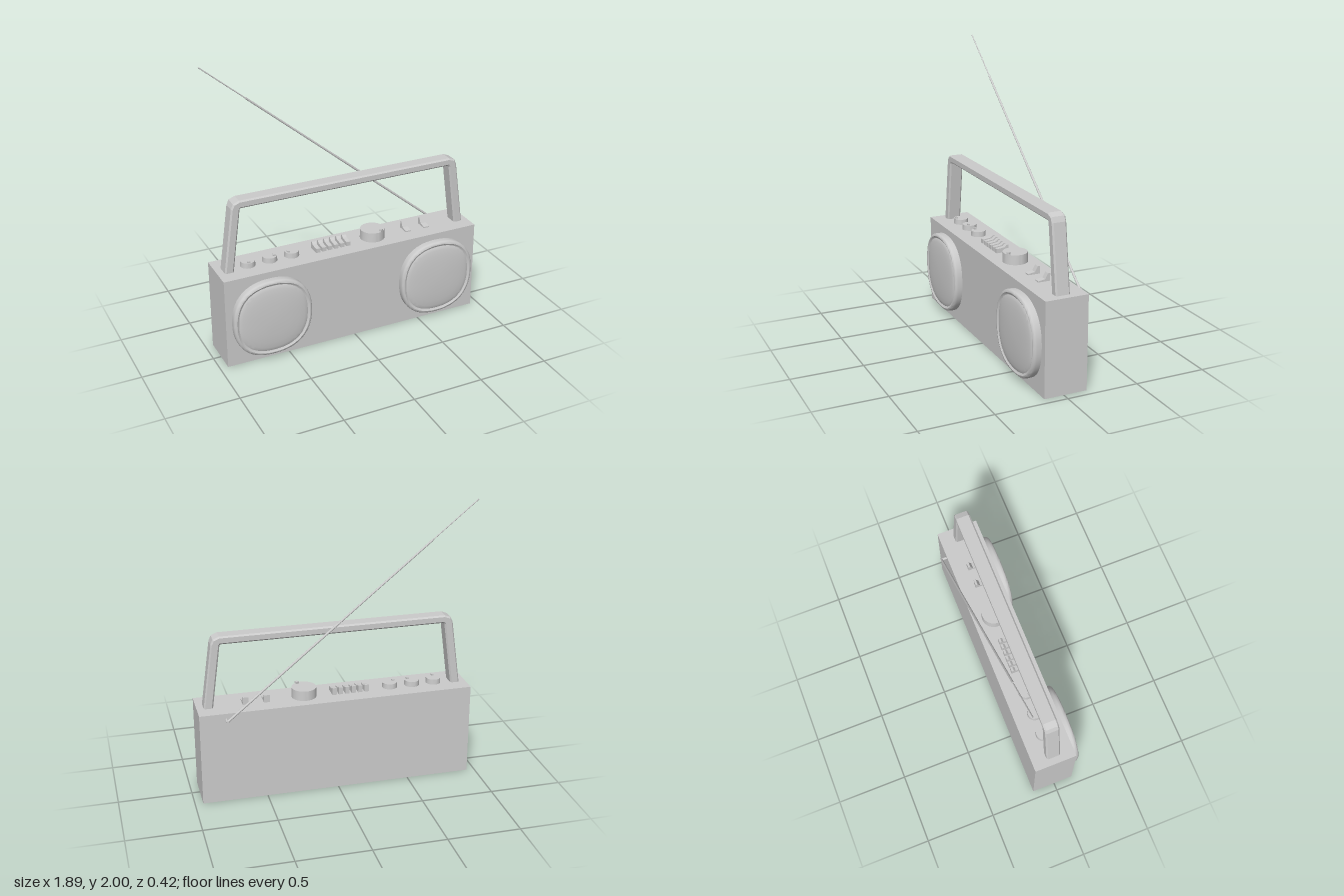
import * as THREE from 'three';
import { toCreasedNormals } from 'three/addons/utils/BufferGeometryUtils.js';

const TOP = 0.65; // height of the case
const MID_Z = -0.01; // centre line of the controls

export function createModel() {
  const model = new THREE.Group();
  const material = new THREE.MeshStandardMaterial({ color: 0xcccccc });

  function add(name, geometry, x = 0, y = 0, z = 0, parent = model) {
    const mesh = new THREE.Mesh(geometry, material);
    mesh.name = name;
    mesh.position.set(x, y, z);
    parent.add(mesh);
    return mesh;
  }
  const box = (w, h, d) => new THREE.BoxGeometry(w, h, d);
  const cylinder = (top, bottom, h, sides = 48) =>
    toCreasedNormals(new THREE.CylinderGeometry(top, bottom, h, sides), 0.6);
  const vectors = (points) => points.map(([x, y]) => new THREE.Vector2(x, y));

  // Side profile (z, y) extruded across x
  function sideProfile(points, width) {
    const shape = new THREE.Shape(vectors(points.map(([z, y]) => [-z, y])));
    const geometry = new THREE.ExtrudeGeometry(shape, { depth: width, bevelEnabled: false });
    return geometry.translate(0, 0, -width / 2).rotateY(Math.PI / 2);
  }

  // Case
  add('case', box(1.89, TOP, 0.3), 0, TOP / 2, -0.013);

  // Speakers: rounded rim, shallow groove and a domed cover, slightly squared
  const speakerProfile = vectors([
    [0.278, 0], [0.28, 0.035], [0.278, 0.05], [0.27, 0.058], [0.26, 0.06],
    [0.252, 0.054], [0.246, 0.052], [0.238, 0.056], [0.22, 0.06],
    [0.18, 0.065], [0.12, 0.069], [0.06, 0.071], [0, 0.072],
  ]);
  const speaker = new THREE.LatheGeometry(speakerProfile, 72).rotateX(Math.PI / 2);
  const p = speaker.attributes.position;
  for (let i = 0; i < p.count; i++) {
    const x = p.getX(i), y = p.getY(i), r = Math.hypot(x, y);
    if (r < 1e-6) continue;
    const n = 2.35;
    const k = 1 / Math.pow(Math.pow(Math.abs(x / r), n) + Math.pow(Math.abs(y / r), n), 1 / n);
    p.setXY(i, x * k, y * k);
  }
  const speakerGeometry = toCreasedNormals(speaker, 0.7);
  for (const side of [-1, 1]) {
    add(side < 0 ? 'rightSpeaker' : 'leftSpeaker', speakerGeometry, side * 0.624, 0.325, 0.134);
  }

  // Carrying handle: leaning legs, cut corners, chamfered edges
  const half = [[0.89, TOP - 0.01], [0.825, 1.1], [0.812, 1.13], [0.775, 1.145]];
  const inner = [[0.775, 1.11], [0.785, 1.095], [0.846, TOP - 0.01]];
  const mirror = (points) => points.map(([x, y]) => [-x, y]).reverse();
  const handleShape = new THREE.Shape(
    vectors([...half, ...mirror(half), ...mirror(inner), ...inner]));
  const handle = new THREE.ExtrudeGeometry(handleShape, {
    depth: 0.08, bevelEnabled: true, bevelSegments: 1, bevelSize: 0.01, bevelThickness: 0.01,
  });
  add('handle', handle, 0, 0, -0.05);

  // Small knobs, each with a raised pointer
  const pointers = [[-0.005, 0.034], [0.026, 0.018], [-0.028, 0.014]];
  [-0.72, -0.563, -0.403].forEach((x, i) => {
    const knob = new THREE.Group();
    knob.name = 'knob' + (i + 1);
    knob.position.set(x, TOP, MID_Z - 0.005);
    model.add(knob);
    add('knobBody', cylinder(0.05, 0.052, 0.037, 32), 0, 0.0185, 0, knob);
    add('knobPointer', box(0.018, 0.012, 0.018), pointers[i][0], 0.042, pointers[i][1], knob);
  });

  // Tuning dial
  const dial = new THREE.Group();
  dial.name = 'tuningDial';
  dial.position.set(0.206, TOP, MID_Z - 0.004);
  model.add(dial);
  add('dialBody', cylinder(0.084, 0.086, 0.068, 64), 0, 0.034, 0, dial);
  const marker = add('dialMarker', box(0.02, 0.016, 0.02), 0.034, 0.075, 0.065, dial);
  marker.rotation.y = 0.5;

  // Row of piano keys, scooped towards the front
  const key = sideProfile([
    [0.035, 0], [0.035, 0.03], [0.02, 0.03], [-0.025, 0.036],
    [-0.04, 0.05], [-0.055, 0.05], [-0.055, 0],
  ], 0.03);
  for (let i = 0; i < 6; i++) add('key' + (i + 1), key, -0.227 + i * 0.0455, TOP, 0);

  // Two lever switches
  const lever = sideProfile([
    [0.03, 0], [0.03, 0.008], [-0.02, 0.015], [-0.04, 0.052], [-0.055, 0.052], [-0.055, 0],
  ], 0.04);
  [0.47, 0.615].forEach((x, i) => add('switch' + (i + 1), lever, x, TOP, 0));

  // Telescopic aerial, hinged on the back
  const base = new THREE.Vector3(0.765, 0.608, -0.202);
  const tip = new THREE.Vector3(-0.92, 1.998, -0.202);
  add('aerialPivot', cylinder(0.009, 0.009, 0.05, 16).rotateX(Math.PI / 2),
    base.x, base.y, -0.186);
  function rod(name, from, to, radius) {
    const a = base.clone().lerp(tip, from), b = base.clone().lerp(tip, to);
    const mesh = add(name, cylinder(radius, radius, a.distanceTo(b), 16));
    mesh.position.copy(a).add(b).multiplyScalar(0.5);
    mesh.quaternion.setFromUnitVectors(new THREE.Vector3(0, 1, 0), b.sub(a).normalize());
  }
  rod('aerialLower', 0, 0.45, 0.008);
  rod('aerialMiddle', 0.45, 0.82, 0.007);
  rod('aerialTip', 0.82, 1, 0.004);

  return model;
}
